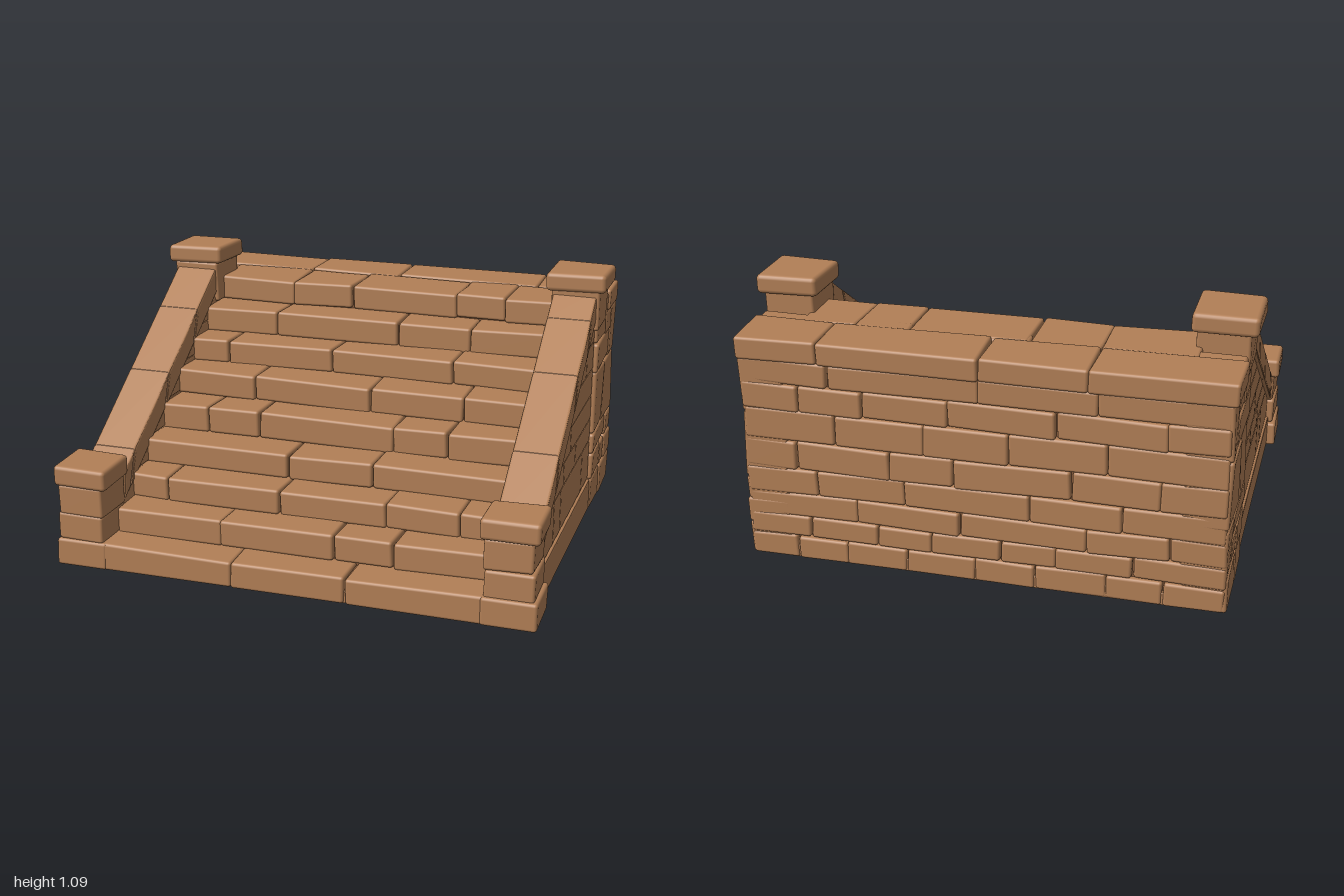
import * as THREE from 'three';
import { RoundedBoxGeometry } from 'three/addons/geometries/RoundedBoxGeometry.js';

const stone = new THREE.MeshStandardMaterial({ color: 0xb27f56 });
stone.name = 'brown stone';
const mortar = new THREE.MeshStandardMaterial({ color: 0x84593a });
mortar.name = 'dark mortar';

export function createModel() {
  const model = new THREE.Group();
  model.name = 'stoneStaircase';
  let seed = 7;
  const rand = () => (seed = (seed * 16807) % 2147483647) / 2147483647;

  const group = (name) => {
    const g = new THREE.Group();
    g.name = name;
    model.add(g);
    return g;
  };
  const add = (parent, name, geo, mat = stone) => {
    const m = new THREE.Mesh(geo, mat);
    m.name = name;
    parent.add(m);
  };

  // Hewn block between two corners, its corners nudged slightly out of true
  function block(parent, name, x0, x1, y0, y1, z0, z1, r = 0.012) {
    const geo = new RoundedBoxGeometry(Math.abs(x1 - x0), y1 - y0, Math.abs(z1 - z0), 2, r);
    geo.translate((x0 + x1) / 2, (y0 + y1) / 2, (z0 + z1) / 2);
    const p = geo.attributes.position, k = rand() * 6, a = 0.004;
    for (let i = 0; i < p.count; i++) {
      const x = p.getX(i), y = p.getY(i), z = p.getZ(i);
      p.setXYZ(i,
        x + a * Math.sin(9 * y + 7 * z + k),
        y < 0.02 ? Math.max(0, y) : y + a * Math.sin(6 * x + 8 * z + k * 2),
        z + a * Math.sin(5 * x + 9 * y + k * 3));
    }
    add(parent, name, geo);
  }

  // Row of blocks along x, cut at the listed joints
  function row(parent, name, x0, x1, joints, y0, y1, z0, z1) {
    const cuts = [x0, ...joints, x1];
    for (let i = 0; i + 1 < cuts.length; i++)
      block(parent, name, cuts[i] + 0.001, cuts[i + 1] - 0.001, y0, y1, z0, z1);
  }

  // Outline in the z-y plane given thickness along x
  function slab(parent, name, pts, xa, xb, mat = stone, bevel = 0.01) {
    const lo = Math.min(xa, xb), hi = Math.max(xa, xb);
    const geo = new THREE.ExtrudeGeometry(new THREE.Shape(pts.map(([z, y]) => new THREE.Vector2(z, y))), {
      depth: hi - lo - 2 * bevel, bevelEnabled: bevel > 0, bevelSize: bevel,
      bevelThickness: bevel, bevelOffset: -bevel, bevelSegments: 2,
    });
    geo.rotateY(-Math.PI / 2).translate(hi - bevel, 0, 0);
    add(parent, name, geo, mat);
  }

  // Keeps the part of an outline below the sloping rail
  const slope = 0.661;
  const railTop = (z) => 0.355 + (0.65 - z) * slope;
  const railBottom = (z) => railTop(z) - 0.115;
  function clipToRail(pts) {
    const out = [], d = ([z, y]) => railBottom(z) + 0.01 - y;
    pts.forEach((p, i) => {
      const q = pts[(i + 1) % pts.length], a = d(p), b = d(q);
      if (a >= 0) out.push(p);
      if (a * b < 0) out.push([p[0] + (q[0] - p[0]) * a / (a - b), p[1] + (q[1] - p[1]) * a / (a - b)]);
    });
    return out;
  }

  // Steps: front z, top y and joints, from the ground up to the landing
  const steps = [
    [0.865, 0.11, [-0.23, 0.24]],
    [0.72, 0.215, [-0.33, 0.15, 0.39]],
    [0.58, 0.315, [-0.58, -0.38, -0.19, 0.37]],
    [0.43, 0.415, [-0.62, -0.14, 0.31, 0.61]],
    [0.265, 0.525, [-0.16, 0.21]],
    [0.105, 0.63, [-0.57, -0.34, 0.25, 0.48]],
    [-0.06, 0.73, [-0.42, 0.1, 0.5]],
    [-0.22, 0.835, [-0.61, -0.13, 0.41]],
  ];
  // the two highest rows share the joint pattern shown on their risers
  steps[7][2] = [-0.44, 0.12, 0.44];
  steps[6][2] = [-0.61, -0.13, 0.41];
  steps[5][2] = [-0.42, 0.1, 0.5];
  steps[4][2] = [-0.57, -0.34, 0.25, 0.48];
  steps[3][2] = [-0.15, 0.21];
  steps[2][2] = [-0.62, -0.13, 0.32, 0.62];
  const stairs = group('steps');
  steps.forEach(([z, y, joints], i) => {
    const next = i < 7 ? steps[i + 1][0] : -0.37;
    row(stairs, 'stepBlock', -0.79, 0.79, joints, i ? steps[i - 1][1] - 0.004 : 0, y, next - 0.04, z);
  });

  // Mortar core behind the step blocks
  const core = [[-0.83, 0.002], [0.84, 0.002]];
  steps.forEach(([z, y], i) => {
    core.push([z - 0.025, y - 0.018], [(i < 7 ? steps[i + 1][0] : -0.37) - 0.025, y - 0.018]);
  });
  core.push([-0.395, 0.92], [-0.83, 0.92]);
  slab(group('core'), 'mortarCore', core, -0.8, 0.8, mortar, 0);

  // Landing and the overhanging coping along the back
  const landing = group('landing');
  row(landing, 'landingBlock', -0.965, 0.965, [-0.42, -0.14, 0.34, 0.56].map((x) => x), 0.838, 0.94, -0.635, -0.56);
  row(landing, 'landingFrontBlock', -0.79, 0.79, [-0.42, -0.14, 0.34, 0.56], 0.836, 0.942, -0.63, -0.37);
  row(landing, 'backCoping', -0.975, 0.972, [-0.42, 0, 0.64], 0.855, 0.948, -0.868, -0.63);

  // Back wall in courses
  const back = group('backWall');
  [
    [0, 0.1, [-0.72, -0.5, -0.22, 0.02, 0.3, 0.55, 0.76]],
    [0.1, 0.19, [-0.6, -0.3, -0.08, 0.2, 0.42, 0.7]],
    [0.19, 0.29, [-0.74, -0.42, 0.08, 0.5]],
    [0.29, 0.4, [-0.56, -0.2, 0.3, 0.66]],
    [0.4, 0.52, [-0.7, -0.36, 0.1, 0.36, 0.74]],
    [0.52, 0.65, [-0.5, -0.12, 0.22, 0.58]],
    [0.65, 0.76, [-0.72, -0.3, 0.12, 0.46, 0.72]],
    [0.76, 0.86, [-0.46, 0.0, 0.6]],
  ].forEach(([y0, y1, joints]) => row(back, 'backBlock', -0.955, 0.955, joints, y0, y1, -0.858, -0.78));

  for (const s of [-1, 1]) {
    const side = s > 0 ? 'left' : 'right';

    // Side wall: stones [z0, z1, y0, y1] trimmed under the rail
    const wall = group(side + 'SideWall');
    slab(wall, 'wallCore', clipToRail([[-0.84, 0.002], [0.7, 0.002], [0.7, 0.9], [-0.84, 0.9]])
      .map(([z, y]) => [z, Math.min(y, 0.84)]), s * 0.785, s * 0.93, mortar, 0);
    [
      [-0.41, 0.67, 0, 0.14],
      [0.36, 0.67, 0.14, 0.32], [0.225, 0.36, 0.14, 0.32], [-0.24, 0.225, 0.14, 0.32], [-0.41, -0.24, 0.14, 0.32],
      [0.18, 0.6, 0.32, 0.42], [-0.07, 0.18, 0.32, 0.42], [-0.41, -0.07, 0.32, 0.42],
      [0.05, 0.5, 0.42, 0.53], [-0.41, 0.05, 0.42, 0.53],
      [-0.41, 0.3, 0.53, 0.65],
      [-0.25, 0.1, 0.65, 0.77], [-0.41, -0.25, 0.65, 0.77],
      [-0.41, 0, 0.77, 0.86],
    ].forEach(([z0, z1, y0, y1]) => {
      const pts = clipToRail([[z0, y0], [z1, y0], [z1, y1], [z0, y1]]);
      if (pts.length > 2) slab(wall, 'sideStone', pts, s * 0.78, s * (y0 ? 0.945 : 0.955), stone, 0.008);
    });

    // Rear pier
    const pier = group(side + 'RearPier');
    [
      [-0.62, -0.41, 0, 0.14], [-0.855, -0.62, 0, 0.14],
      [-0.61, -0.41, 0.14, 0.26], [-0.72, -0.61, 0.14, 0.25], [-0.855, -0.72, 0.14, 0.25],
      [-0.72, -0.41, 0.26, 0.35], [-0.855, -0.72, 0.25, 0.35],
      [-0.61, -0.41, 0.35, 0.63], [-0.855, -0.61, 0.35, 0.63],
      [-0.72, -0.41, 0.63, 0.76], [-0.855, -0.72, 0.63, 0.86],
      [-0.6, -0.41, 0.76, 0.85], [-0.72, -0.6, 0.76, 0.86],
    ].forEach(([z0, z1, y0, y1]) => block(pier, 'pierStone', s * 0.78, s * 0.962, y0, y1, z0, z1));

    // Sloping rail, its joints square to the slope
    const rail = group(side + 'Rail');
    const cuts = s > 0 ? [0.66, 0.39, 0.05, -0.2, -0.34] : [0.66, 0.56, 0.21, -0.1, -0.34];
    for (let i = 0; i < 4; i++) {
      const [a, b] = [cuts[i] - 0.001, cuts[i + 1] + 0.001];
      const lean = (j) => (j === 0 || j === 4 ? 0 : 0.05);
      const za = a + lean(i), zb = b + lean(i + 1);
      slab(rail, 'railStone', [[b, railTop(b)], [zb, railBottom(zb)], [za, railBottom(za)], [a, railTop(a)]],
        s * 0.775, s * 0.962, stone, 0.009);
    }

    // Front post
    const front = group(side + 'FrontPost');
    block(front, 'postBase', s * 0.77, s * 0.988, 0, 0.11, 0.65, 0.868);
    block(front, 'postLower', s * 0.78, s * 0.975, 0.108, 0.222, 0.66, 0.858);
    block(front, 'postUpper', s * 0.78, s * 0.972, 0.22, 0.345, 0.66, 0.856);
    block(front, 'postCap', s * 0.762, s * 0.992, 0.34, 0.425, 0.648, 0.87, 0.016);

    // Upper post
    const upper = group(side + 'UpperPost');
    block(upper, 'postNeck', s * 0.765, s * 0.972, 0.842, 1.02, -0.538, -0.308);
    block(upper, 'postCap', s * 0.742, s * 0.998, 1.01, 1.088, -0.558, -0.294, 0.018);
  }

  // Flat underside
  block(group('underside'), 'bottomSlab', -0.94, 0.94, 0, 0.05, -0.85, 0.85, 0.004);
  return model;
}
